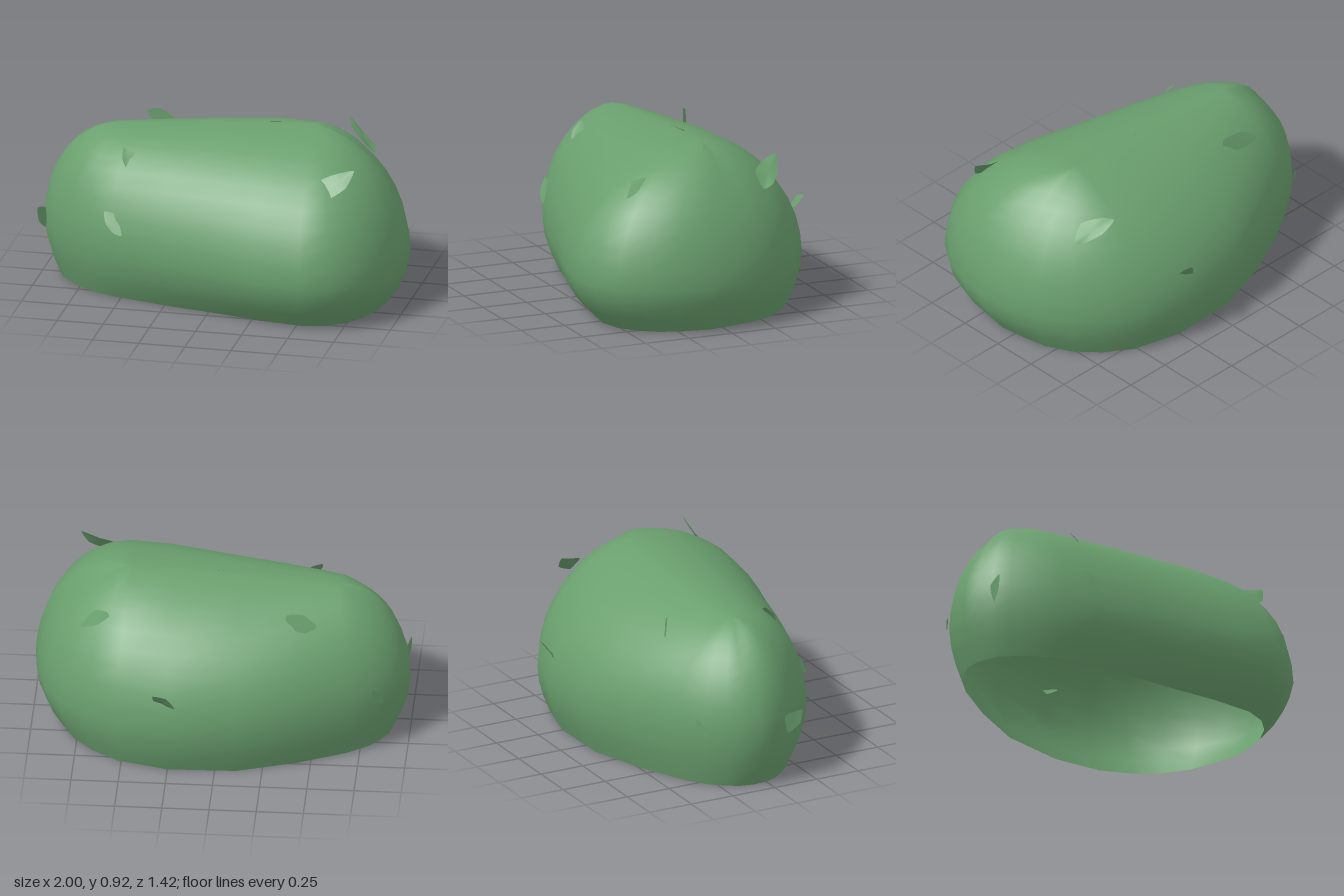
import * as THREE from 'three';

const green = new THREE.MeshStandardMaterial({ color: 0x6a9f6e, side: THREE.DoubleSide });
green.name = 'leafGreen';

// Widest outline of the bush as [x, z], clockwise seen from above
const OUTLINE = [
  [-1, -0.08], [-0.97, -0.18], [-0.92, -0.25], [-0.84, -0.34], [-0.7, -0.43], [-0.43, -0.56], [-0.11, -0.67],
  [0.25, -0.68], [0.52, -0.61], [0.69, -0.51], [0.83, -0.38], [0.93, -0.22], [0.98, -0.06], [1, 0.12],
  [0.97, 0.3], [0.92, 0.45], [0.83, 0.58], [0.71, 0.67], [0.55, 0.71], [0.3, 0.67], [0.03, 0.59],
  [-0.24, 0.52], [-0.52, 0.43], [-0.68, 0.36], [-0.8, 0.27], [-0.9, 0.17], [-0.96, 0.09], [-0.99, 0],
];

// Hollow dome: rings shrink from the outline up to a sloping ridge, and tuck in below
function bushGeometry() {
  const n = OUTLINE.length, below = 3, above = 10, rows = below + above;
  const position = [], index = [];
  for (let j = 0; j <= rows; j++) {
    for (const [x, z] of OUTLINE) {
      const ax = THREE.MathUtils.clamp(x, -0.6, 0.47), az = -0.045;
      const top = Math.min(0.92, 0.9 + 0.085 * ax), mid = 0.28 - 0.03 * x;
      let s, y;
      if (j < below) {
        const u = j / below;
        const foot = z < 0 ? 0.76 - 0.18 * z : 0.78;
        s = 1 - (1 - foot) * (1 - u) ** 1.8;
        y = mid * u;
      } else {
        const a = ((j - below) / above) * Math.PI / 2;
        s = Math.max(Math.cos(a), 0) ** (z < 0 ? 1.25 : 0.98);
        y = mid + (top - mid) * Math.sin(a);
      }
      position.push(ax + (x - ax) * s, y, az + (z - az) * s);
    }
  }
  for (let j = 0; j < rows; j++) {
    for (let i = 0; i < n; i++) {
      const a = j * n + i, b = j * n + (i + 1) % n, c = a + n, d = b + n;
      index.push(a, c, b, b, c, d);
    }
  }
  const geo = new THREE.BufferGeometry();
  geo.setAttribute('position', new THREE.Float32BufferAttribute(position, 3));
  geo.setIndex(index);
  geo.computeVertexNormals();
  // One shared normal along the ridge keeps the top smooth
  for (let i = 0; i < n; i++) geo.attributes.normal.setXYZ(rows * n + i, -0.07, 0.9975, 0);
  return geo;
}

// Thin leaf: a fan around the middle of a gently rounded rim
function leafGeometry(corners) {
  const curve = new THREE.CatmullRomCurve3(corners.map(p => new THREE.Vector3(...p)), true, 'catmullrom', 0.25);
  const steps = corners.length * 3;
  const rim = curve.getPoints(steps).slice(0, steps);
  const mid = rim.reduce((sum, p) => sum.add(p), new THREE.Vector3()).divideScalar(steps);
  const geo = new THREE.BufferGeometry().setFromPoints([mid, ...rim]);
  geo.setIndex(rim.flatMap((_, i) => [0, i + 1, (i + 1) % steps + 1]));
  geo.computeVertexNormals();
  return geo;
}

const LEAVES = {
  frontLeftLeaf: [[0.59, 0.77, 0.41], [0.64, 0.69, 0.475], [0.74, 0.75, 0.44], [0.78, 0.84, 0.4], [0.68, 0.81, 0.385]],
  frontRightUpperLeaf: [[-0.51, 0.81, 0.21], [-0.51, 0.76, 0.26], [-0.48, 0.71, 0.28], [-0.45, 0.78, 0.22]],
  frontRightLowerLeaf: [[-0.58, 0.5, 0.39], [-0.56, 0.44, 0.425], [-0.52, 0.4, 0.44], [-0.47, 0.39, 0.445], [-0.51, 0.49, 0.4]],
  rightEndLeaf: [[-0.96, 0.28, 0.1], [-0.985, 0.33, 0.16], [-0.99, 0.41, 0.17], [-0.965, 0.38, 0.08]],
  backRightUpperLeaf: [[-0.53, 0.79, -0.4], [-0.45, 0.83, -0.35], [-0.36, 0.8, -0.31], [-0.36, 0.73, -0.32], [-0.46, 0.73, -0.37]],
  backRightLowerLeaf: [[-0.82, 0.39, -0.37], [-0.82, 0.33, -0.37], [-0.87, 0.29, -0.33], [-0.87, 0.34, -0.33]],
  backMiddleLeaf: [[0.22, 0.38, -0.64], [0.21, 0.42, -0.67], [0.25, 0.49, -0.7], [0.32, 0.51, -0.71], [0.32, 0.46, -0.67], [0.29, 0.42, -0.63]],
  backLeftLeaf: [[0.73, 0.69, -0.3], [0.72, 0.71, -0.36], [0.64, 0.76, -0.42], [0.57, 0.83, -0.44], [0.59, 0.81, -0.36], [0.66, 0.77, -0.28]],
};

export function createModel() {
  const group = new THREE.Group();
  group.name = 'bush';
  const add = (name, geo) => {
    const mesh = new THREE.Mesh(geo, green);
    mesh.name = name;
    group.add(mesh);
  };
  add('bushBody', bushGeometry());
  for (const [name, corners] of Object.entries(LEAVES)) add(name, leafGeometry(corners));
  return group;
}
